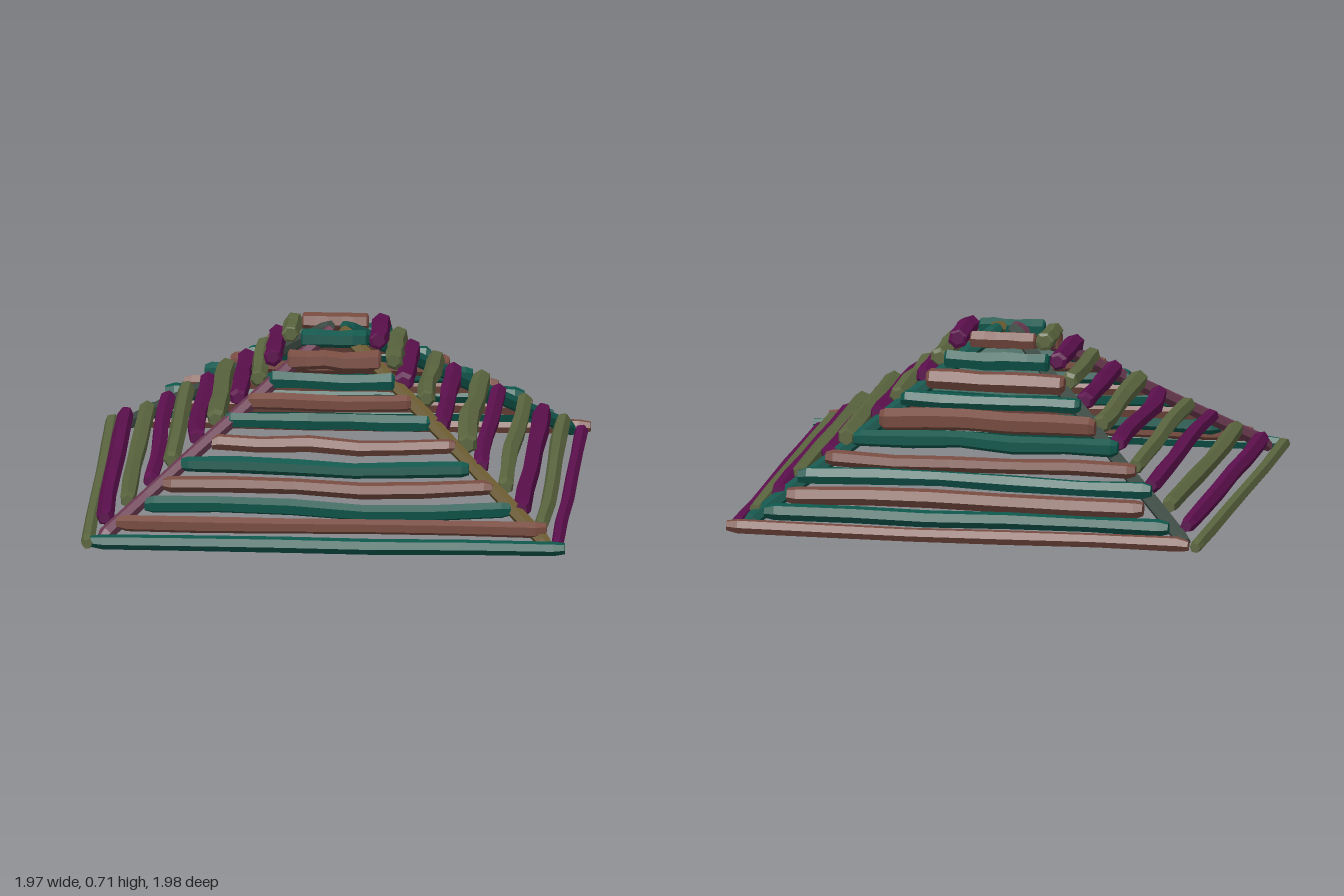
import * as THREE from 'three';

const mat = (name, color) => {
  const m = new THREE.MeshStandardMaterial({ color });
  m.name = name;
  return m;
};

// Small seeded generator for the hand-hewn irregularity
let seed = 7;
const rand = () => {
  seed = (seed * 16807) % 2147483647;
  return seed / 2147483647 - 0.5;
};

// Ring positions along a log: short chamfers at the ends, wobble between
const RINGS = [0, 0.025, 0.2, 0.4, 0.6, 0.78, 0.975, 1];

// Six-sided rough log from a to b; bend shifts its later half by a vector
function log(name, a, b, radius, material, bend = new THREE.Vector3()) {
  const u = b.clone().sub(a).normalize();
  const v = u.clone().cross(new THREE.Vector3(0, 1, 0)).normalize();
  const w = v.clone().cross(u);
  const last = RINGS.length - 1;
  const rings = RINGS.map((t, i) => ({
    t,
    size: radius * (i === 0 || i === last ? 0.72 : 1 + rand() * 0.16),
    dv: rand() * 0.008,
    dw: rand() * 0.008,
    bend: Math.exp(-(((t - 0.68) / 0.2) ** 2)),
  }));
  const turn = rand() * 1.0;
  const geo = new THREE.CylinderGeometry(1, 1, 1, 6, last);
  const pos = geo.attributes.position;
  const p = new THREE.Vector3();
  for (let i = 0; i < pos.count; i++) {
    p.fromBufferAttribute(pos, i);
    const ring = rings[Math.round((p.y + 0.5) * last)];
    const x = p.x * Math.cos(turn) + p.z * Math.sin(turn);
    const z = p.z * Math.cos(turn) - p.x * Math.sin(turn);
    const q = a.clone().lerp(b, ring.t)
      .addScaledVector(v, x * ring.size + ring.dv)
      .addScaledVector(w, z * ring.size + ring.dw)
      .addScaledVector(bend, ring.bend);
    pos.setXYZ(i, q.x, q.y, q.z);
  }
  const flat = geo.toNonIndexed();
  flat.computeVertexNormals();
  const mesh = new THREE.Mesh(flat, material);
  mesh.name = name;
  return mesh;
}

// Height of each course of logs
const HEIGHTS = [0.04, 0.098, 0.152, 0.218, 0.28, 0.347, 0.413, 0.48, 0.545, 0.612, 0.68];

// Per course: distance from the centre, start, end, radius, bend down the slope
const FRONT = [
  [0.955, -0.95, 0.98, 0.032, 0], [0.865, -0.85, 0.9, 0.033, 0], [0.76, -0.74, 0.75, 0.036, 0.03],
  [0.685, -0.67, 0.67, 0.033, 0.018], [0.61, -0.6, 0.57, 0.033, 0.018], [0.515, -0.48, 0.51, 0.033, 0.015],
  [0.41, -0.43, 0.41, 0.036, 0], [0.343, -0.34, 0.32, 0.034, 0.01], [0.255, -0.26, 0.25, 0.039, 0.01],
  [0.18, -0.19, 0.19, 0.042, 0.008], [0.085, -0.14, 0.13, 0.038, 0.01],
];
const BACK = [
  [0.955, -0.93, 0.98, 0.03, 0.005], [0.915, -0.84, 0.83, 0.034, 0], [0.838, -0.72, 0.75, 0.041, -0.01],
  [0.765, -0.74, 0.72, 0.035, -0.015], [0.685, -0.66, 0.62, 0.032, 0.01], [0.6, -0.57, 0.52, 0.036, -0.012],
  [0.51, -0.46, 0.43, 0.045, -0.008], [0.415, -0.38, 0.36, 0.034, 0.008], [0.333, -0.3, 0.27, 0.042, 0],
  [0.255, -0.22, 0.21, 0.04, 0], [0.165, -0.15, 0.12, 0.038, 0],
];
const RIGHT = [
  [0.965, -0.99, 0.98, 0.029, 0], [0.905, -0.87, 0.8, 0.034, 0], [0.81, -0.76, 0.73, 0.036, 0.008],
  [0.725, -0.68, 0.65, 0.034, -0.012], [0.645, -0.61, 0.56, 0.035, -0.01], [0.548, -0.5, 0.45, 0.037, 0.01],
  [0.475, -0.46, 0.4, 0.038, -0.01], [0.385, -0.35, 0.3, 0.036, 0], [0.31, -0.29, 0.24, 0.036, 0],
  [0.25, -0.23, 0.16, 0.037, 0], [0.185, -0.17, 0.05, 0.038, 0],
];
const LEFT = [
  [0.945, -0.93, 0.93, 0.028, 0], [0.875, -0.88, 0.84, 0.033, 0.008], [0.795, -0.8, 0.78, 0.037, 0],
  [0.725, -0.72, 0.69, 0.035, -0.012], [0.62, -0.63, 0.6, 0.035, -0.01], [0.555, -0.59, 0.5, 0.042, -0.01],
  [0.452, -0.45, 0.43, 0.037, 0], [0.38, -0.38, 0.29, 0.036, -0.01], [0.287, -0.3, 0.27, 0.04, 0],
  [0.24, -0.23, 0.19, 0.038, 0], [0.175, -0.18, 0.13, 0.039, 0],
];

export function createModel() {
  seed = 7;
  const model = new THREE.Group();
  model.name = 'logPyramid';

  const teal = mat('teal', 0x0e564b);
  const brown = mat('brown', 0x774b40);
  const purple = mat('purple', 0x5c104d);
  const olive = mat('olive', 0x5b653f);

  // Four sloping sides of stacked logs in two alternating colours
  const sides = [
    ['front', FRONT, 'z', 1, teal, brown],
    ['back', BACK, 'z', -1, brown, teal],
    ['right', RIGHT, 'x', -1, olive, purple],
    ['left', LEFT, 'x', 1, purple, olive],
  ];
  for (const [name, rows, axis, sign, first, second] of sides) {
    const side = new THREE.Group();
    side.name = name + 'Side';
    const at = (out, along, y) => axis === 'z'
      ? new THREE.Vector3(along, y, out * sign)
      : new THREE.Vector3(out * sign, y, along);
    rows.forEach(([out, start, end, radius, bend], i) => {
      const y = HEIGHTS[i];
      side.add(log(name + 'Log' + (i + 1), at(out, start, y), at(out, end, y), radius,
        i % 2 ? second : first, at(bend, 0, -bend * 0.7)));
    });
    model.add(side);
  }

  // Four corner rafters meeting near the peak
  const rafters = [
    ['frontLeftRafter', 1, 1, mat('ochre', 0x6a5a30)],
    ['frontRightRafter', -1, 1, mat('mauve', 0x6a3950)],
    ['backLeftRafter', 1, -1, mat('deep teal', 0x12544b)],
    ['backRightRafter', -1, -1, mat('slate', 0x3e4c45)],
  ];
  for (const [name, sx, sz, material] of rafters) {
    model.add(log(name, new THREE.Vector3(0.91 * sx, 0.04, 0.91 * sz),
      new THREE.Vector3(0.025 * sx, 0.7, 0.025 * sz), 0.03, material));
  }
  return model;
}
